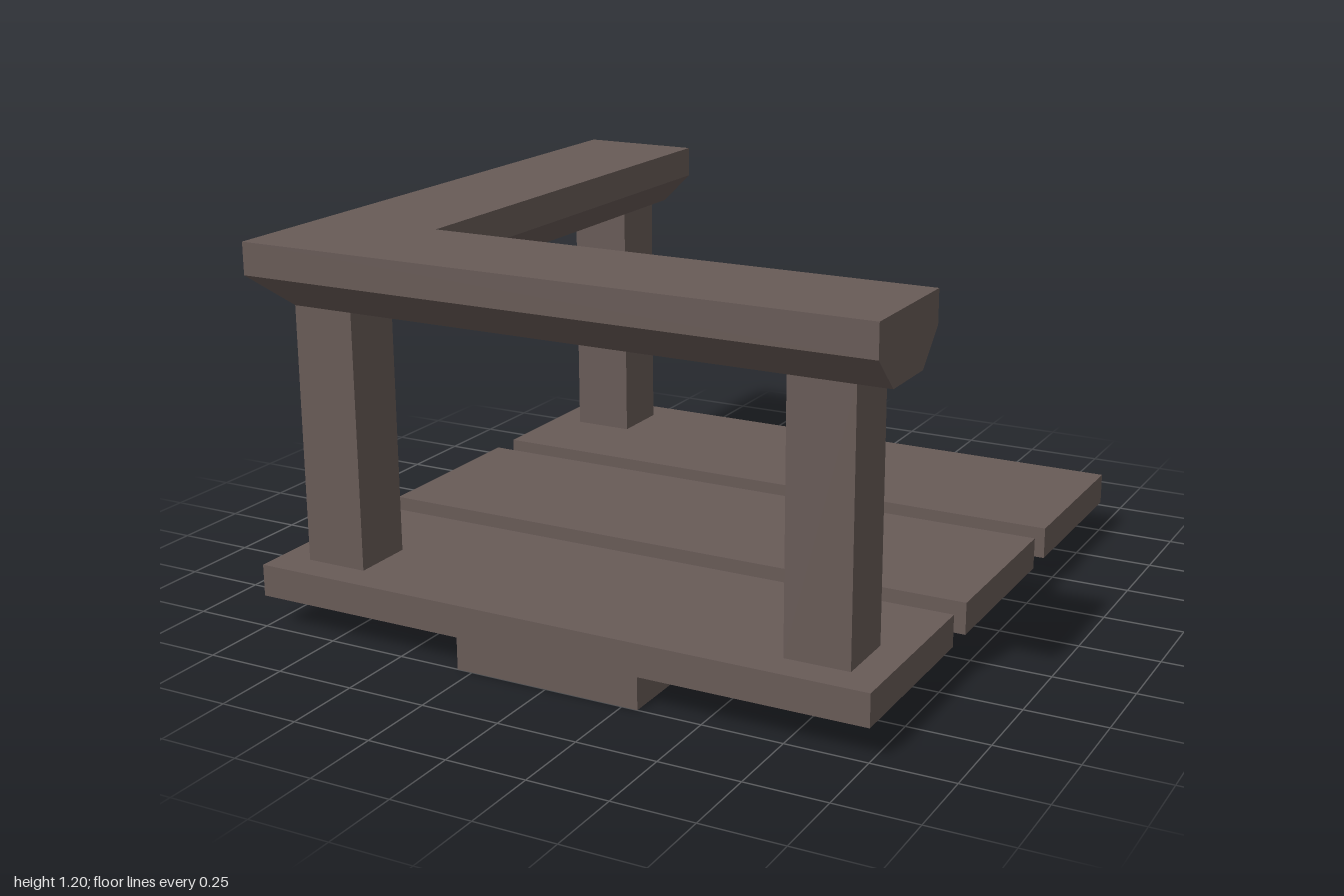
import * as THREE from 'three';

const material = new THREE.MeshStandardMaterial({ color: 0x685b57 });

// Sweeps a closed profile through a list of sections, with flat end caps
function loft(sections) {
  const pos = [];
  const tri = (...points) => points.forEach((p) => pos.push(...p));
  const n = sections[0].length;
  for (let s = 0; s < sections.length - 1; s++) {
    const p = sections[s], q = sections[s + 1];
    for (let i = 0; i < n; i++) {
      const j = (i + 1) % n;
      tri(q[i], q[j], p[j]);
      tri(q[i], p[j], p[i]);
    }
  }
  const first = sections[0], last = sections[sections.length - 1];
  for (let i = 1; i < n - 1; i++) {
    tri(first[0], first[i], first[i + 1]);
    tri(last[0], last[i + 1], last[i]);
  }
  const geometry = new THREE.BufferGeometry();
  geometry.setAttribute('position', new THREE.Float32BufferAttribute(pos, 3));
  geometry.computeVertexNormals();
  return geometry;
}

export function createModel() {
  const model = new THREE.Group();
  model.name = 'balconyCorner';

  const add = (name, geometry, x = 0, y = 0, z = 0) => {
    const mesh = new THREE.Mesh(geometry, material);
    mesh.name = name;
    mesh.position.set(x, y, z);
    model.add(mesh);
  };

  // Support beam under the floor
  add('supportBeam', new THREE.BoxGeometry(0.6, 0.1, 2), 0, 0.05, 0);

  // Three floor planks with gaps between them
  const plank = new THREE.BoxGeometry(2, 0.1, 0.6);
  for (const z of [-0.7, 0, 0.7]) add('floorPlank', plank, 0, 0.15, z);

  // Posts at the corner and at both rail ends
  const post = new THREE.BoxGeometry(0.2, 0.8, 0.2);
  for (const [x, z] of [[-0.8, 0.8], [0.8, 0.8], [-0.8, -0.8]]) add('railPost', post, x, 0.6, z);

  // L-shaped handrail, chamfered below and mitred at the corner
  const profile = [[-0.2, 1.2], [0.2, 1.2], [0.2, 1.1], [0.1, 1], [-0.1, 1], [-0.2, 1.1]];
  add('handrail', loft([
    profile.map(([o, y]) => [1, y, 0.8 + o]),
    profile.map(([o, y]) => [-0.8 - o, y, 0.8 + o]),
    profile.map(([o, y]) => [-0.8 - o, y, -1]),
  ]));

  return model;
}
